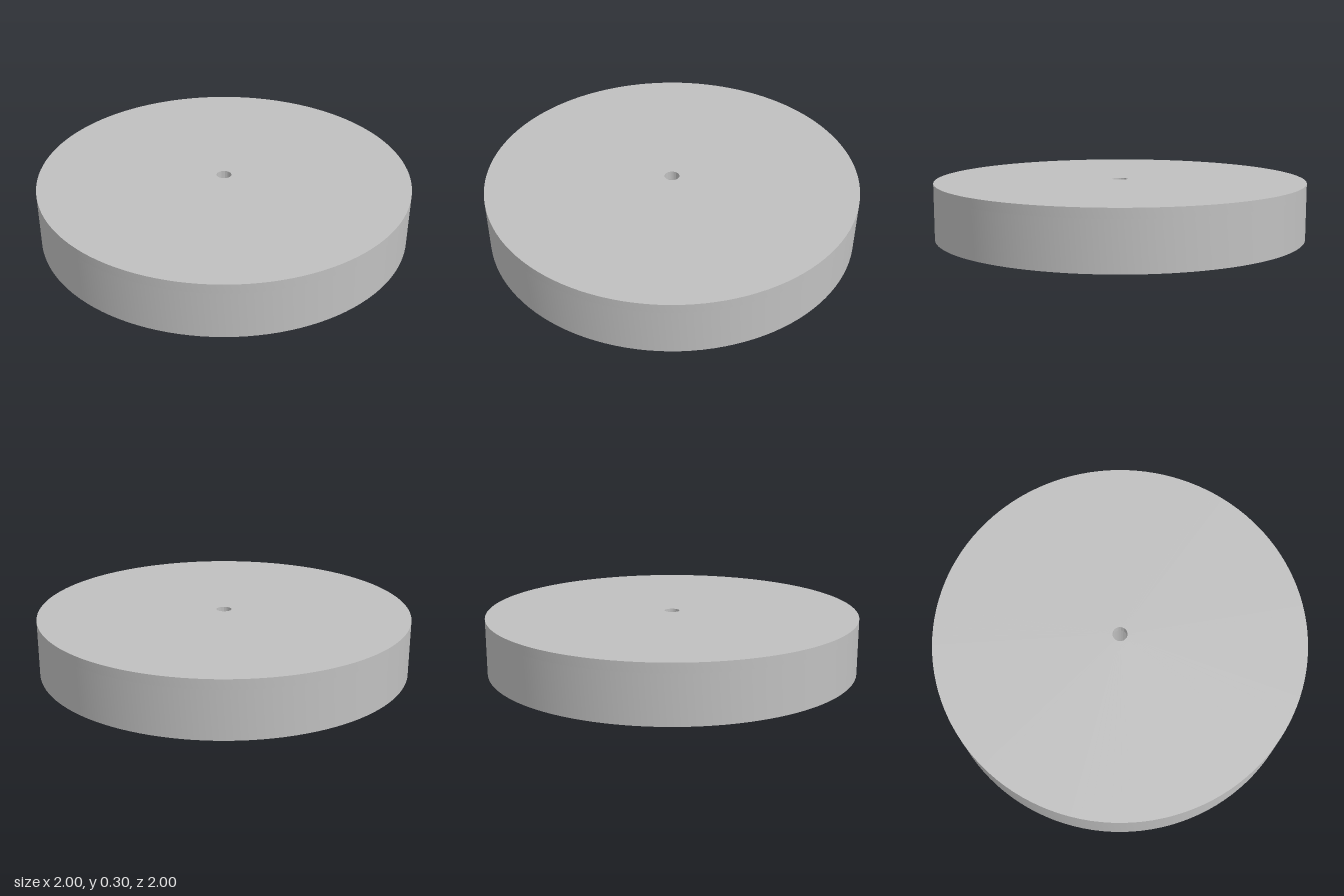
import * as THREE from 'three';
import { toCreasedNormals } from 'three/addons/utils/BufferGeometryUtils.js';

const SEGMENTS = 120;
const RIBS = 9;
const R_OUT = 1, R_IN = 0.957;   // rim wall
const FLOOR = 0.25, TOP = 0.3;   // closed plate
const RIB_HALF = 0.018, RIB_START = 0.32, FILLET = 0.035;

// Points along an arc in the plane, both ends included
function arc(cx, cy, r, a0, a1, n) {
  return Array.from({ length: n + 1 }, (_, i) => {
    const a = a0 + ((a1 - a0) * i) / n;
    return new THREE.Vector2(cx + r * Math.cos(a), cy + r * Math.sin(a));
  });
}

// Open cavity inside the rim, with the ribs reaching in and filleted at the wall
function cavityOutline() {
  const step = (Math.PI * 2) / RIBS;
  const cv = RIB_HALF + FILLET;
  const cu = Math.sqrt((R_IN - FILLET) ** 2 - cv ** 2);
  const wall = Math.atan2(cv, cu);
  const half = [
    new THREE.Vector2(RIB_START, RIB_HALF),
    ...arc(cu, cv, FILLET, -Math.PI / 2, wall, 6),
  ];
  const mirrored = half.map((p) => new THREE.Vector2(p.x, -p.y)).reverse();
  const span = arc(0, 0, R_IN, wall, step - wall, 13).slice(1, -1);
  const points = [];
  const origin = new THREE.Vector2();
  for (let i = 0; i < RIBS; i++) {
    for (const p of [...mirrored, ...half, ...span]) {
      points.push(p.clone().rotateAround(origin, i * step));
    }
  }
  return points;
}

export function createModel() {
  const group = new THREE.Group();
  group.name = 'ribbedWheel';
  const grey = new THREE.MeshStandardMaterial({ color: 0xc0c0c0 });
  grey.name = 'light grey';

  const add = (name, geometry) => {
    const mesh = new THREE.Mesh(toCreasedNormals(geometry, 0.6), grey);
    mesh.name = name;
    group.add(mesh);
  };

  // Rim wall and radial ribs
  const shape = new THREE.Shape(arc(0, 0, R_OUT, 0, Math.PI * 2, SEGMENTS).slice(0, -1));
  shape.holes.push(new THREE.Path(cavityOutline()));
  const rim = new THREE.ExtrudeGeometry(shape, { depth: FLOOR, bevelEnabled: false });
  rim.rotateX(-Math.PI / 2);
  add('rimAndRibs', rim);

  // Closed plate with the central hub, its bore and the smaller hole through the top
  const profile = [
    [R_OUT, FLOOR], [R_OUT, TOP], [0.04, TOP], [0.04, FLOOR], [0.07, FLOOR],
    [0.07, 0], [0.13, 0], [0.13, FLOOR], [R_OUT, FLOOR],
  ].map(([r, y]) => new THREE.Vector2(r, y));
  add('plateAndHub', new THREE.LatheGeometry(profile, SEGMENTS));

  return group;
}
